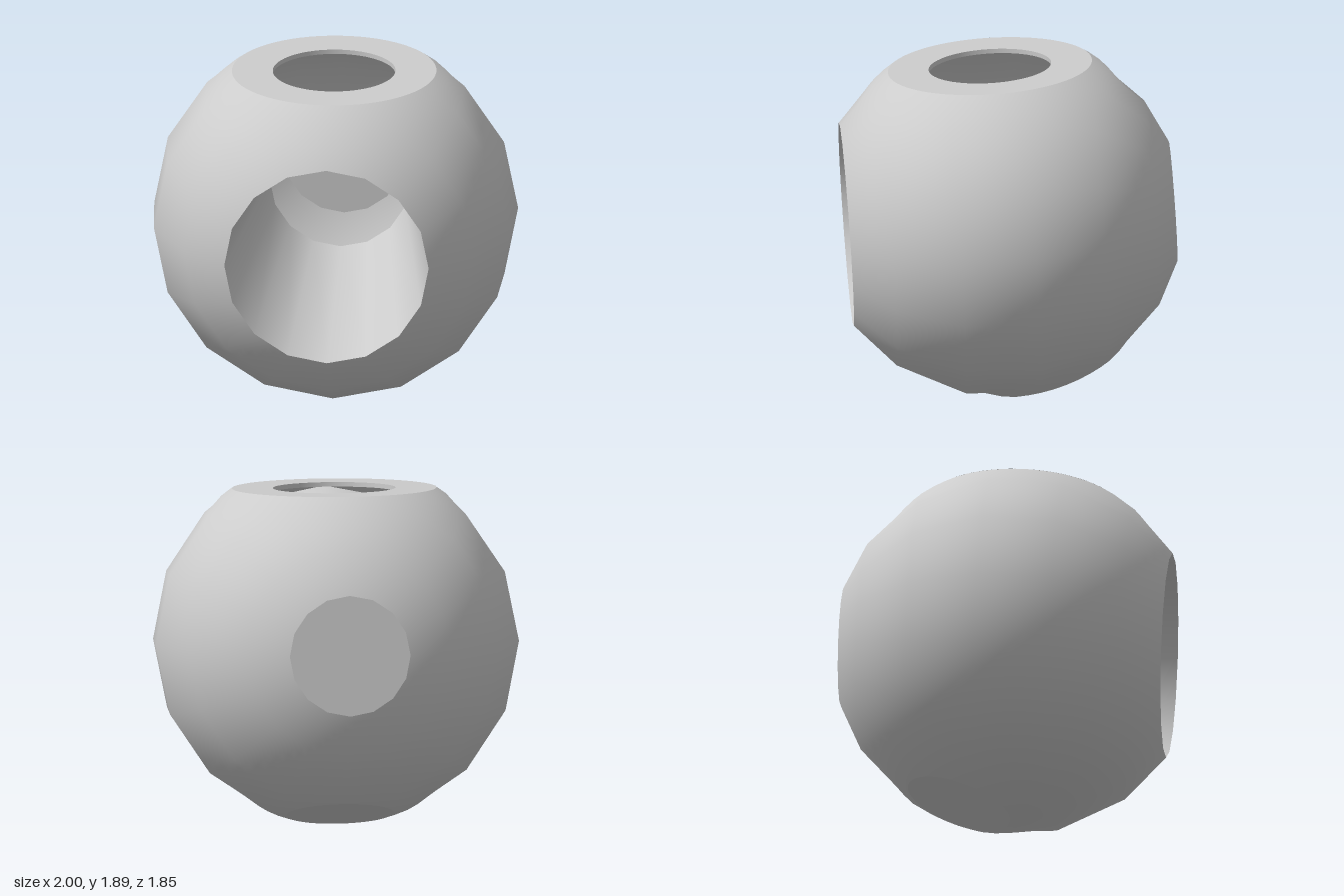
import * as THREE from 'three';

const rad = THREE.MathUtils.degToRad;
const material = new THREE.MeshStandardMaterial({ color: 0xcccccc, side: THREE.DoubleSide });
const SIDES = 16, SPLIT = 6, R = 1.012;

// Flat cuts through the ball: direction of the cut and its half angle
const cuts = [
  { dir: new THREE.Vector3(0, 1, 0), angle: rad(33.7) },
  { dir: new THREE.Vector3(0, -Math.cos(rad(15.7)), -Math.sin(rad(15.7))), angle: rad(17) },
];
const cutDepth = (c) => R * Math.cos(c.angle);
const cutRadius = (c) => R * Math.sin(c.angle);

function part(group, name, geometry) {
  const mesh = new THREE.Mesh(geometry, material);
  mesh.name = name;
  group.add(mesh);
  return mesh;
}

// Point on the ball; theta is measured from the front axis
function onBall(theta, phi) {
  return new THREE.Vector3(
    Math.sin(theta) * Math.cos(phi), Math.sin(theta) * Math.sin(phi), Math.cos(theta)).multiplyScalar(R);
}

// Keep the part of a polygon that lies below a cut plane
function clip(poly, cut) {
  const out = [];
  poly.forEach((a, i) => {
    const b = poly[(i + 1) % poly.length];
    const da = a.dot(cut.dir) - cutDepth(cut), db = b.dot(cut.dir) - cutDepth(cut);
    if (da <= 0) out.push(a);
    if (da * db < 0) out.push(a.clone().lerp(b, da / (da - db)));
  });
  return out;
}

// Smooth-shaded band of coarse facets, rounded out next to the cuts
function band(angles) {
  const positions = [], normals = [];
  const point = (i, u, j, v) => {
    const t0 = rad(angles[i]), t1 = rad(angles[i + 1]);
    const p0 = j * 2 * Math.PI / SIDES, p1 = (j + 1) * 2 * Math.PI / SIDES;
    const flat = onBall(t0, p0).lerp(onBall(t1, p0), u)
      .lerp(onBall(t0, p1).lerp(onBall(t1, p1), u), v);
    const round = flat.clone().setLength(R);
    let weight = 0;
    for (const c of cuts) {
      const gap = round.angleTo(c.dir) - c.angle;
      weight = Math.max(weight, THREE.MathUtils.clamp(1 - (gap - rad(4)) / rad(10), 0, 1));
    }
    return flat.lerp(round, weight);
  };
  for (let i = 0; i < angles.length - 1; i++) for (let j = 0; j < SIDES; j++)
    for (let k = 0; k < SPLIT; k++) for (let l = 0; l < SPLIT; l++) {
      const u0 = k / SPLIT, u1 = (k + 1) / SPLIT, v0 = l / SPLIT, v1 = (l + 1) / SPLIT;
      let poly = [point(i, u0, j, v0), point(i, u1, j, v0), point(i, u1, j, v1), point(i, u0, j, v1)];
      for (const c of cuts) poly = clip(poly, c);
      for (let n = 1; n < poly.length - 1; n++)
        for (const p of [poly[0], poly[n], poly[n + 1]]) {
          positions.push(p.x, p.y, p.z);
          normals.push(...p.clone().normalize().toArray());
        }
    }
  const g = new THREE.BufferGeometry();
  g.setAttribute('position', new THREE.Float32BufferAttribute(positions, 3));
  g.setAttribute('normal', new THREE.Float32BufferAttribute(normals, 3));
  return g;
}

// Open cone along z, from a ring on the ball at the front to a small ring deep inside
function innerCone(theta) {
  const z = R * Math.cos(theta), endZ = -0.56, endRadius = 0.387;
  return new THREE.CylinderGeometry(R * Math.sin(theta), endRadius, z - endZ, SIDES, 1, true)
    .rotateX(Math.PI / 2).translate(0, 0, (z + endZ) / 2);
}

export function createModel() {
  const model = new THREE.Group();
  const ball = new THREE.Group();
  ball.name = 'ball';
  ball.position.set(0, 1.013, 0.045);
  ball.rotation.x = rad(3.5);
  model.add(ball);

  // Hollow shell in three bands from front to back
  part(ball, 'frontCap', band([33.7, 52]));
  part(ball, 'shell', band([52, 75.5, 99, 122.5, 146]));
  part(ball, 'backCap', band([146, 160.8]));

  // Flat end at the back
  const backDisc = part(ball, 'backDisc', new THREE.CircleGeometry(R * Math.sin(rad(160.8)), SIDES));
  backDisc.position.z = R * Math.cos(rad(160.8));
  backDisc.rotation.y = Math.PI;

  // Front plug: tapered open tunnel and the wider cone around it
  part(ball, 'frontTunnel', innerCone(rad(33.7)));
  part(ball, 'tunnelHousing', innerCone(rad(52)));

  // Flat top ring with a short lip around its hole
  const [top, bottom] = cuts;
  const topRing = part(ball, 'topRing',
    new THREE.RingGeometry(0.337, cutRadius(top), 64).rotateX(-Math.PI / 2));
  topRing.position.y = cutDepth(top);
  const lip = part(ball, 'topLip', new THREE.CylinderGeometry(0.337, 0.337, 0.025, 64, 1, true));
  lip.position.y = cutDepth(top) - 0.0125;

  // Flat facet under the ball
  const facet = part(ball, 'bottomFacet', new THREE.CircleGeometry(cutRadius(bottom), 48));
  facet.position.copy(bottom.dir).multiplyScalar(cutDepth(bottom));
  facet.quaternion.setFromUnitVectors(new THREE.Vector3(0, 0, 1), bottom.dir);

  return model;
}
